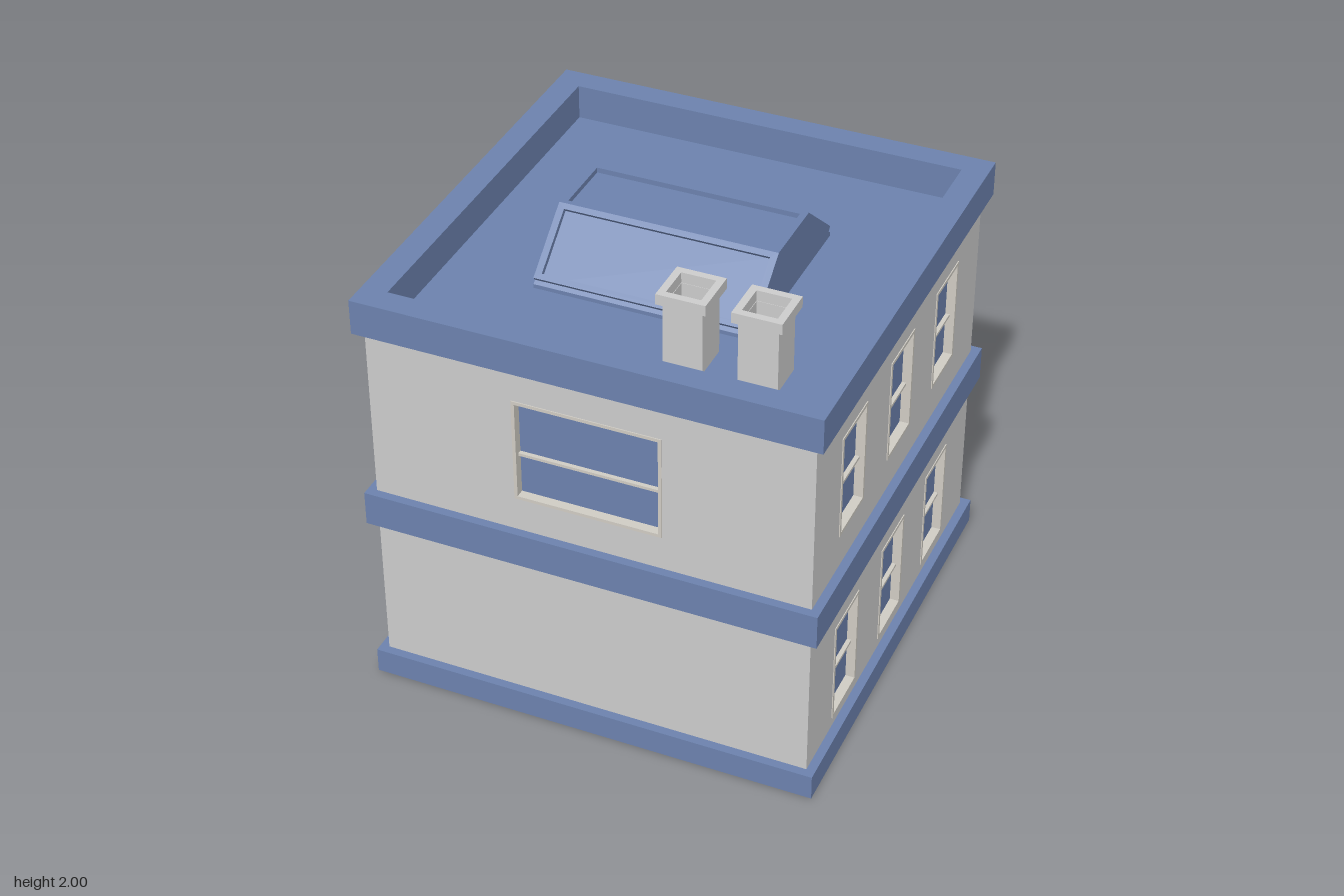
import * as THREE from 'three';

const mat = (name, color, side = THREE.DoubleSide) => {
  const m = new THREE.MeshStandardMaterial({ color, side });
  m.name = name;
  return m;
};
const stone = mat('grey wall', 0xcccccc);
const slate = mat('slate blue', 0x6c82ae);
const cream = mat('window trim', 0xd0ccc4);
const red = mat('red door', 0xb5525e);

const WALL = 0.917, BAND = 0.954, ROOF = 1.68, TOP = 1.83;

function add(parent, name, geo, material, x = 0, y = 0, z = 0) {
  const m = new THREE.Mesh(geo, material);
  m.name = name;
  m.position.set(x, y, z);
  parent.add(m);
  return m;
}

const rectPoints = (x0, x1, y0, y1) =>
  [[x0, y0], [x1, y0], [x1, y1], [x0, y1]].map(p => new THREE.Vector2(...p));

// Rectangular ring with a rectangular opening, extruded along z
function ring(w, h, mx, my, depth) {
  const s = new THREE.Shape(rectPoints(-w / 2, w / 2, -h / 2, h / 2));
  s.holes.push(new THREE.Path(rectPoints(-w / 2 + mx, w / 2 - mx, -h / 2 + my, h / 2 - my)));
  return new THREE.ExtrudeGeometry(s, { depth, bevelEnabled: false });
}

// Square sweep of a [half width, height] profile around the building
function squareSweep(profile, start = Math.PI / 4, sides = 4) {
  const pts = profile.map(([r, y]) => new THREE.Vector2(r * Math.SQRT2, y));
  const g = new THREE.LatheGeometry(pts, sides, start, sides * Math.PI / 2).toNonIndexed();
  g.computeVertexNormals();
  return g;
}

// Recessed window in a wall's own frame (z = 0 is the wall face)
function addWindow(parent, { u, half, y0, y1 }) {
  const g = new THREE.Group();
  g.name = 'window';
  const h = y1 - y0;
  g.position.set(u, y0 + h / 2, 0);
  add(g, 'windowFrame', ring(half * 2, h, 0.014, 0.014, 0.044), cream, 0, 0, -0.04);
  add(g, 'glass', new THREE.PlaneGeometry(half * 2 - 0.02, h - 0.02), slate, 0, 0, -0.035);
  add(g, 'sashRail', new THREE.BoxGeometry(half * 2 - 0.026, 0.012, 0.02), cream, 0, 0.2 - h / 2, -0.027);
  parent.add(g);
}

// Door with blue jambs and a half-round light
function addDoor(parent, { u, half, top }) {
  const g = new THREE.Group();
  g.name = 'door';
  g.position.x = u;
  add(g, 'doorLeaf', new THREE.BoxGeometry(half * 2, top, 0.012), red, 0, top / 2, -0.042);
  for (const s of [-1, 1]) {
    add(g, 'doorJamb', new THREE.BoxGeometry(0.012, top, 0.05), slate, s * (half - 0.006), top / 2, -0.023);
  }
  add(g, 'doorHead', new THREE.BoxGeometry(half * 2, 0.012, 0.05), slate, 0, top - 0.006, -0.023);
  for (const [name, r, m, z] of [['fanlightTrim', 0.095, cream, 0.008], ['fanlight', 0.08, slate, 0.0095]]) {
    const lift = name === 'fanlight' ? 0.008 : 0;
    for (const s of [-1, 1]) {
      add(g, name, new THREE.CircleGeometry(r, 16, 0, Math.PI), m, 0, 0.475 + lift, -0.042 + s * z);
    }
  }
  parent.add(g);
}

// One storey of wall with openings, turned to face its side
function addWall(parent, name, turn, y0, y1, windows, door) {
  const g = new THREE.Group();
  g.name = name;
  const pts = rectPoints(-WALL, WALL, y0, y1);
  if (door) {
    const a = door.u - door.half, b = door.u + door.half;
    pts.splice(1, 0, ...[[a, y0], [a, door.top], [b, door.top], [b, y0]].map(p => new THREE.Vector2(...p)));
    addDoor(g, door);
  }
  const shape = new THREE.Shape(pts);
  for (const w of windows) {
    shape.holes.push(new THREE.Path(rectPoints(w.u - w.half, w.u + w.half, w.y0, w.y1)));
    addWindow(g, w);
  }
  add(g, 'wallPanel', new THREE.ShapeGeometry(shape), stone);
  // move the panel out to the wall plane, then turn it
  g.children.forEach(c => { c.position.z += WALL; });
  g.rotation.y = turn;
  parent.add(g);
}

// Skylight with three recessed panes
function addSkylight(parent) {
  const g = new THREE.Group();
  g.name = 'skylight';
  const W = 0.915, D = 0.022;
  const half = [[0.4, ROOF], [0.4, 1.697], [0.148, 1.93 - D]];
  const outline = [...half, ...half.slice().reverse().map(([z, y]) => [-z, y])];
  const core = new THREE.ExtrudeGeometry(
    new THREE.Shape(outline.map(([z, y]) => new THREE.Vector2(z, y))), { depth: W, bevelEnabled: false });
  core.translate(0, 0, -W / 2).rotateY(-Math.PI / 2);
  add(g, 'skylightBody', core, slate);
  const top = add(g, 'topPaneFrame', ring(W, 0.31, 0.028, 0.022, D), slate, 0, 1.93 - D, 0);
  top.rotation.x = -Math.PI / 2;
  // sloping frames, mirrored front to back
  const rise = 1.93 - 1.726, run = 0.4 - 0.155;
  for (const turn of [0, Math.PI]) {
    const side = new THREE.Group();
    side.name = 'slopingPane';
    side.rotation.y = turn;
    const geo = ring(W, Math.hypot(rise, run), 0.028, 0.024, D).translate(0, 0, -D);
    const slope = add(side, 'slopingPaneFrame', geo, slate, 0, (1.93 + 1.726) / 2, (0.4 + 0.155) / 2);
    slope.rotation.x = -Math.atan2(run, rise);
    g.add(side);
  }
  parent.add(g);
}

function addChimney(parent, x, z) {
  const g = new THREE.Group();
  g.name = 'chimney';
  g.position.set(x, 0, z);
  const flat = geo => geo.rotateX(-Math.PI / 2);
  add(g, 'chimneyShaft', flat(ring(0.16, 0.16, 0.012, 0.012, 1.955 - ROOF)), stone, 0, ROOF, 0);
  add(g, 'chimneyCap', flat(ring(0.2, 0.2, 0.03, 0.03, 0.045)), stone, 0, 1.955, 0);
  parent.add(g);
}

export function createModel() {
  const house = new THREE.Group();
  house.name = 'house';

  // Walls, storey by storey
  const lower = { y0: 0.155, y1: 0.615 }, upper = { y0: 1.07, y1: 1.53 };
  const row = level => [-0.52, 0, 0.52].map(u => ({ u, half: 0.13, ...level }));
  const wide = [{ u: 0, half: 0.308, ...upper }];
  const door = { u: 0.485, half: 0.16, top: 0.62 };
  const q = Math.PI / 2;
  const sides = [
    ['front', 0, [], wide],
    ['left', q, row(lower), row(upper)],
    ['back', Math.PI, [], wide],
    ['right', -q, [{ u: -0.3, half: 0.35, ...lower }], row(upper), door],
  ];
  for (const [name, turn, low, high, opening] of sides) {
    addWall(house, name + 'LowerWall', turn, 0.11, 0.77, low, opening);
    addWall(house, name + 'UpperWall', turn, 0.92, ROOF, high);
  }

  // Plinth, broken by the doorway on one side
  add(house, 'plinth', squareSweep([[BAND, 0], [BAND, 0.11], [WALL, 0.11]], -Math.PI / 4, 3), slate);
  for (const [z0, z1] of [[-BAND, door.u - door.half], [door.u + door.half, BAND]]) {
    add(house, 'plinthByDoor', new THREE.BoxGeometry(BAND - WALL, 0.11, z1 - z0), slate,
      -(BAND + WALL) / 2, 0.055, (z0 + z1) / 2);
  }

  // Floor band, cornice with parapet, and roof deck
  add(house, 'floorBand', squareSweep([[WALL, 0.77], [BAND, 0.77], [BAND, 0.92], [WALL, 0.92]]), slate);
  add(house, 'parapet', squareSweep([[WALL, ROOF], [BAND, ROOF], [BAND, TOP], [0.846, TOP], [0.846, ROOF]]), slate);
  add(house, 'roofDeck', new THREE.PlaneGeometry(1.692, 1.692).rotateX(-q), slate, 0, ROOF, 0);

  addSkylight(house);
  for (const x of [0.285, 0.585]) addChimney(house, x, 0.59);
  return house;
}
